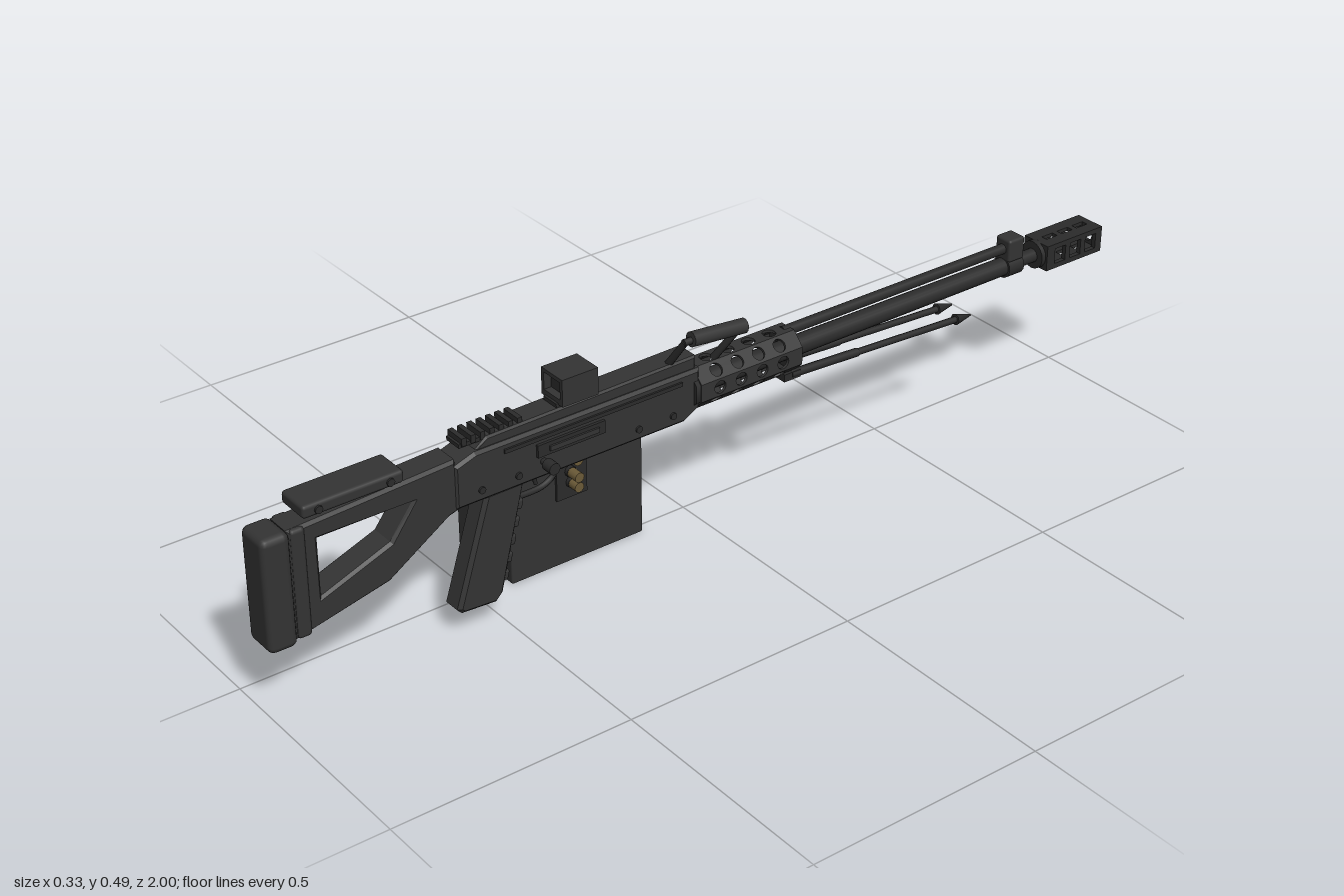
import * as THREE from 'three';
import { RoundedBoxGeometry } from 'three/addons/geometries/RoundedBoxGeometry.js';

const mat = (name, color) => {
  const m = new THREE.MeshStandardMaterial({ color });
  m.name = name;
  return m;
};

export function createModel() {
  const root = new THREE.Group();
  const body = mat('dark polymer', 0x343434);
  const metal = mat('gun metal', 0x2b2b2b);
  const brass = mat('dull brass', 0x6c5b38);
  const CX = 0.09; // centre plane of the weapon

  const add = (name, geo, m, x = 0, y = 0, z = 0) => {
    const mesh = new THREE.Mesh(geo, m);
    mesh.name = name;
    mesh.position.set(x, y, z);
    root.add(mesh);
    return mesh;
  };
  const box = (name, m, w, h, d, x, y, z) => add(name, new THREE.BoxGeometry(w, h, d), m, x, y, z);
  const rounded = (name, m, w, h, d, x, y, z, r = 0.01) =>
    add(name, new RoundedBoxGeometry(w, h, d, 2, r), m, x, y, z);

  // Cylinder between two points
  const rod = (name, m, a, b, r0, r1 = r0, sides = 16) => {
    const p = new THREE.Vector3(...a), q = new THREE.Vector3(...b);
    const mesh = add(name, new THREE.CylinderGeometry(r1, r0, p.distanceTo(q), sides), m);
    mesh.position.copy(p).add(q).multiplyScalar(0.5);
    mesh.quaternion.setFromUnitVectors(new THREE.Vector3(0, 1, 0), q.sub(p).normalize());
    return mesh;
  };
  const path = (pts) => pts.map(([z, y]) => new THREE.Vector2(z, y));
  const circle = (z, y, r) => new THREE.Path().absarc(z, y, r, 0, Math.PI * 2, true);
  const rect = (z, y, w, h) => new THREE.Path(path([
    [z - w / 2, y - h / 2], [z - w / 2, y + h / 2], [z + w / 2, y + h / 2], [z + w / 2, y - h / 2]]));

  // Side profile in (z, y), extruded across x and centred
  const profile = (pts, width, bevel = 0, holes = []) => {
    const s = new THREE.Shape(path(pts));
    s.holes.push(...holes);
    const depth = width - 2 * bevel;
    const g = new THREE.ExtrudeGeometry(s, {
      depth, bevelEnabled: bevel > 0, bevelThickness: bevel, bevelSize: bevel,
      bevelOffset: -bevel, bevelSegments: 1, curveSegments: 8,
    });
    return g.translate(0, 0, -depth / 2).rotateY(-Math.PI / 2);
  };

  // Skeleton stock, butt pad and cheek rest
  const gap = new THREE.Path(path([[0.885, 0.335], [0.885, 0.215], [0.74, 0.27], [0.69, 0.335]]));
  add('stock', profile([[0.945, 0.372], [0.6, 0.388], [0.58, 0.285], [0.615, 0.275],
    [0.745, 0.19], [0.945, 0.145]], 0.062, 0.006, [gap]), body, CX);
  rounded('buttPlate', body, 0.07, 0.225, 0.03, CX, 0.26, 0.925, 0.008);
  rounded('buttPad', body, 0.077, 0.235, 0.058, 0.0925, 0.258, 0.971, 0.014);
  rounded('cheekRest', body, 0.074, 0.026, 0.205, CX + 0.002, 0.401, 0.813, 0.007);
  for (const z of [0.74, 0.885]) {
    box('cheekRestPost', metal, 0.03, 0.03, 0.02, CX, 0.378, z);
    rod('cheekRestBolt', metal, [0.053, 0.4, z], [0.133, 0.4, z], 0.008, 0.008, 8);
  }

  // Receiver with sloped top cover
  add('receiver', profile([[0.605, 0.375], [0.56, 0.39], [0.055, 0.39], [0.055, 0.305],
    [0.09, 0.285], [0.605, 0.285]], 0.07, 0.006), body, CX);
  add('topCover', profile([[0.56, 0.385], [0.53, 0.409], [0.06, 0.415], [0.06, 0.385]], 0.054, 0.004), body, CX);
  for (let i = 0; i < 7; i++) box('rearRailTooth', metal, 0.045, 0.016, 0.01, CX, 0.412, 0.455 + i * 0.02);
  box('rearRail', metal, 0.04, 0.008, 0.14, CX, 0.405, 0.515);
  for (const s of [-1, 1]) {
    box('sideRib', metal, 0.006, 0.008, 0.4, CX + s * 0.036, 0.372, 0.3);
    for (const z of [0.12, 0.2, 0.47, 0.55])
      rod('receiverPin', metal, [CX, 0.31, z], [CX + s * 0.039, 0.31, z], 0.007);
  }

  // Charging handle and its slot
  box('handleSlot', metal, 0.008, 0.026, 0.15, 0.127, 0.347, 0.355);
  box('handleSlide', body, 0.012, 0.01, 0.11, 0.129, 0.347, 0.35);
  rod('chargingHandle', metal, [0.12, 0.32, 0.415], [0.14, 0.32, 0.415], 0.007);
  rod('chargingKnob', metal, [0.137, 0.32, 0.415], [0.161, 0.32, 0.415], 0.012);

  // Hooded sight
  const hood = new THREE.Shape(path([[-0.033, 0], [0.033, 0], [0.033, 0.056], [-0.033, 0.056]]));
  hood.holes.push(rect(0, 0.03, 0.05, 0.036));
  add('sightHood', new THREE.ExtrudeGeometry(hood, { depth: 0.08, bevelEnabled: false }), body, 0.092, 0.416, 0.29);
  box('sightScreen', metal, 0.052, 0.038, 0.008, 0.092, 0.446, 0.35);
  box('sightBase', metal, 0.04, 0.01, 0.09, 0.092, 0.414, 0.33);

  // Pistol grip with finger ridges, trigger and guard
  add('grip', profile([[0.535, 0.29], [0.605, 0.065], [0.595, 0.055], [0.52, 0.05],
    [0.505, 0.065], [0.45, 0.29]], 0.05, 0.007), body, 0.0925);
  for (let i = 0; i < 5; i++) {
    const t = i / 4;
    const ridge = rounded('gripRidge', body, 0.044, 0.022, 0.016, 0.0925, 0.24 - t * 0.14, 0.462 + t * 0.036, 0.005);
    ridge.rotation.x = -0.25;
  }
  const guard = new THREE.CatmullRomCurve3([[0.285, 0.37], [0.26, 0.372], [0.245, 0.395], [0.242, 0.44], [0.245, 0.47]]
    .map(([y, z]) => new THREE.Vector3(0.0925, y, z)));
  add('triggerGuard', new THREE.TubeGeometry(guard, 16, 0.006, 6), metal);
  rod('trigger', metal, [0.0925, 0.29, 0.42], [0.0925, 0.255, 0.412], 0.006, 0.004, 8);

  // Perforated barrel shroud from eight panels
  const apothem = 0.045, panelW = 2 * apothem * Math.tan(Math.PI / 8);
  for (let i = 0; i < 8; i++) {
    const h = panelW / 2;
    const g = profile([[0.06, -h], [0.06, h], [-0.185, h], [-0.185, -h]], 0.006, 0,
      [0.015, -0.036, -0.087, -0.138].map((z) => circle(z, 0, 0.0135)));
    const panel = add('shroudPanel', g.translate(apothem - 0.003, 0, 0), body, CX, 0.34, 0);
    panel.rotation.z = (i * Math.PI) / 4;
  }
  const collar = (name, z, d, r) => {
    rod(name, metal, [CX, 0.34, z - d / 2], [CX, 0.34, z + d / 2], r, r, 8).rotateY(Math.PI / 8);
  };
  collar('shroudRear', 0.06, 0.02, 0.046);
  collar('shroudFront', -0.178, 0.012, 0.046);

  // Barrel, gas tube and front block
  rod('barrel', metal, [CX, 0.336, 0.06], [CX, 0.336, -0.78], 0.021, 0.019, 20);
  rod('barrelTip', metal, [CX, 0.336, -0.77], [CX, 0.336, -0.86], 0.015);
  rod('gasTube', metal, [CX, 0.377, -0.17], [CX, 0.377, -0.76], 0.011);
  rounded('gasBlock', body, 0.042, 0.05, 0.042, CX, 0.376, -0.77, 0.006);
  rod('gasBlockRing', metal, [CX, 0.336, -0.75], [CX, 0.336, -0.79], 0.024);

  // Muzzle brake: windowed sides, vented top and bottom, bored ends
  const zs = [-0.882, -0.925, -0.968];
  const plate = (h, w, win) => profile([[-0.845, -h], [-0.845, h], [-1, h], [-1, -h]], w, 0,
    zs.map((z) => rect(z, 0, 0.03, win)));
  for (const s of [-1, 1]) {
    add('brakeSide', plate(0.028, 0.01, 0.034), metal, CX + s * 0.029, 0.337, 0);
    add('brakeTop', plate(0.026, 0.008, 0.014), metal, CX, 0.337 + s * 0.024, 0).rotation.z = Math.PI / 2;
  }
  for (const z of [-1, -0.853]) {
    const end = new THREE.Shape(path([[-0.026, -0.022], [0.026, -0.022], [0.026, 0.022], [-0.026, 0.022]]));
    end.holes.push(circle(0, 0, 0.014));
    add('brakeEnd', new THREE.ExtrudeGeometry(end, { depth: 0.008, bevelEnabled: false }), metal, CX, 0.337, z);
  }
  rod('brakeCollar', metal, [CX, 0.337, -0.835], [CX, 0.337, -0.848], 0.03);

  // Folded bipod
  box('bipodMount', metal, 0.07, 0.016, 0.04, CX, 0.296, -0.17);
  for (const s of [-1, 1]) {
    const x = CX + s * 0.028;
    rod('bipodLeg', metal, [x, 0.297, -0.16], [x, 0.274, -0.61], 0.007, 0.007, 8);
    rod('bipodSleeve', metal, [x, 0.297, -0.17], [x, 0.288, -0.34], 0.009, 0.009, 8);
    rod('bipodFoot', metal, [x, 0.275, -0.6], [x, 0.272, -0.642], 0.012, 0.002, 8);
  }

  // Carrying handle leaning to the left side
  rod('handleGrip', body, [0.147, 0.474, 0.095], [0.147, 0.462, -0.03], 0.015);
  rod('handleRearPost', metal, [0.1, 0.405, 0.115], [0.147, 0.472, 0.108], 0.008, 0.007, 8);
  rod('handleFrontPost', metal, [0.1, 0.385, 0.005], [0.147, 0.463, -0.022], 0.008, 0.007, 8);
  rod('handleTie', metal, [0.147, 0.472, 0.112], [0.147, 0.472, 0.08], 0.007, 0.007, 8);

  // Ammunition box with lid, carry loop and chute
  rounded('ammoBox', body, 0.183, 0.225, 0.308, -0.0695, 0.1125, 0.27, 0.004);
  rounded('ammoBoxLid', body, 0.189, 0.014, 0.32, -0.0705, 0.226, 0.27, 0.004);
  const loop = [[0.235, 0.375], [0.262, 0.335], [0.272, 0.315], [0.272, 0.225], [0.262, 0.205], [0.235, 0.165]];
  const curve = new THREE.CatmullRomCurve3(loop.map(([y, z]) => new THREE.Vector3(-0.07, y, z)), false, 'catmullrom', 0.2);
  add('ammoBoxHandle', new THREE.TubeGeometry(curve, 24, 0.007, 8), metal);
  box('ammoChute', metal, 0.01, 0.085, 0.07, 0.022, 0.19, 0.285);

  // Feed tray and exposed round beside it
  box('feedTray', metal, 0.045, 0.028, 0.105, 0.037, 0.336, 0.28);
  box('feedBracket', metal, 0.02, 0.06, 0.13, 0.056, 0.335, 0.28);
  rod('feedRound', brass, [0.054, 0.372, 0.33], [0.054, 0.372, 0.24], 0.009, 0.007, 10);

  // Hanging belt of rounds: [tip x, base x, y, z]
  const belt = [[-0.032, 0.03, 0.331, 0.28], [-0.04, 0.055, 0.282, 0.285], [-0.046, 0.055, 0.24, 0.288],
    [0.015, 0.06, 0.206, 0.29], [0.015, 0.056, 0.182, 0.288]];
  belt.forEach(([tip, base, y, z], i) => {
    const neck = i < 3 ? tip + 0.027 : tip + 0.01;
    rod('roundCase', brass, [neck, y, z], [base, y, z], 0.0105, 0.0105, 12);
    rod('roundTip', brass, [neck, y, z], [tip, y, z], 0.009, 0.007, 12);
    rod('beltLink', metal, [neck - 0.008, y, z], [neck + 0.01, y, z], 0.0115, 0.0115, 10);
  });

  return root;
}
